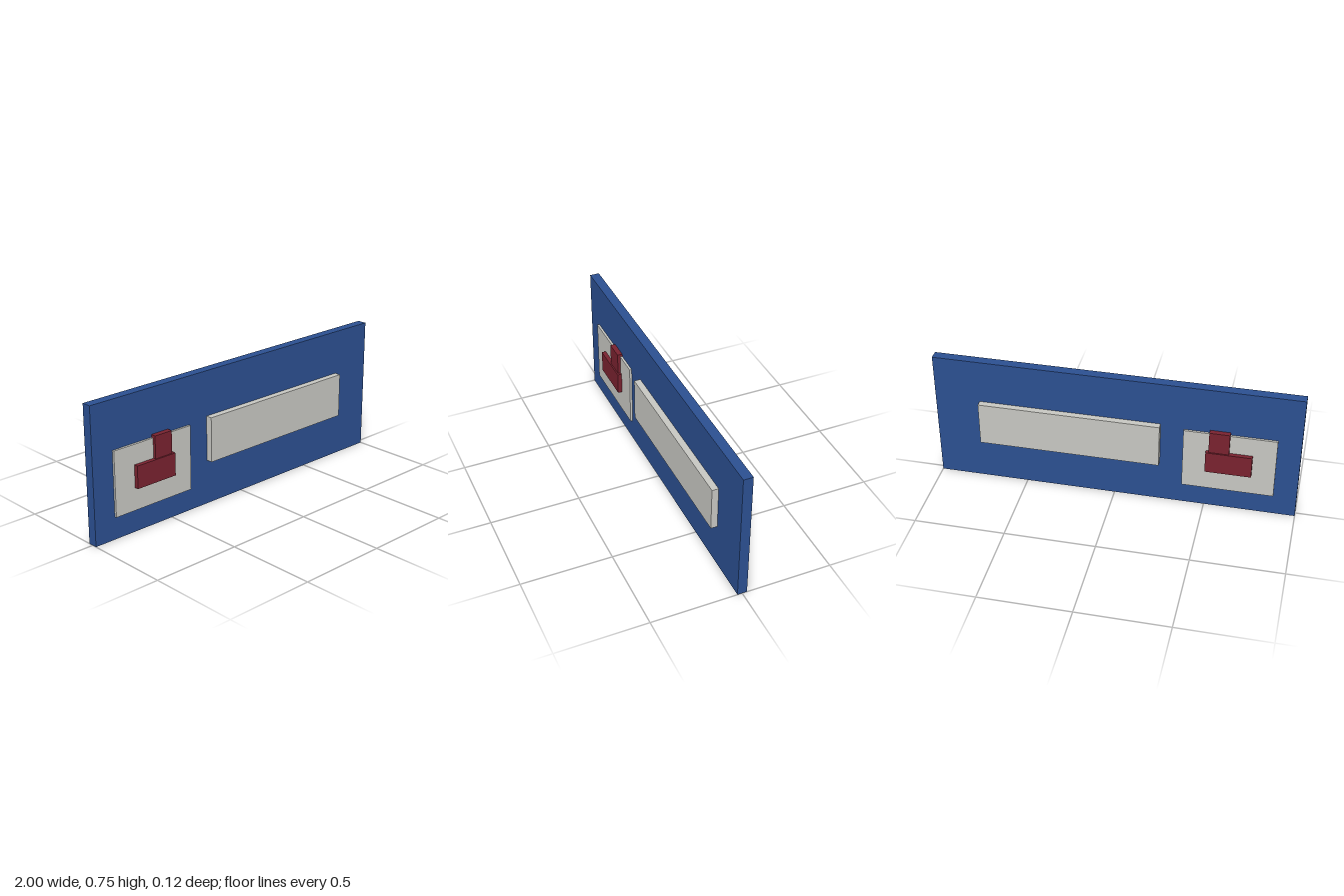
import * as THREE from 'three';

export function createModel() {
  const model = new THREE.Group();
  const material = (name, color) => {
    const m = new THREE.MeshStandardMaterial({ color });
    m.name = name;
    return m;
  };
  const blue = material('blue', 0x2b4f90);
  const paleGrey = material('pale grey', 0xc6c6c1);
  const darkRed = material('dark red', 0x78222f);

  // Box given by its x and y limits, running from depth z0 to z1
  const addBox = (name, mat, [x0, x1], [y0, y1], [z0, z1]) => {
    const mesh = new THREE.Mesh(new THREE.BoxGeometry(x1 - x0, y1 - y0, z1 - z0), mat);
    mesh.position.set((x0 + x1) / 2, (y0 + y1) / 2, (z0 + z1) / 2);
    mesh.name = name;
    model.add(mesh);
  };

  // Main board
  const face = 0.0265;
  addBox('board', blue, [-1, 1], [0, 0.75], [-face, face]);

  // The same raised pieces on the front and the back
  const raised = [
    ['longBar', paleGrey, [-0.25, 0.75], [0.25, 0.5], 0.0625],
    ['emblemPlate', paleGrey, [-0.875, -0.375], [0.125, 0.485], 0.039],
    ['emblemBase', darkRed, [-0.75, -0.5], [0.25, 0.375], 0.0625],
    ['emblemStem', darkRed, [-0.625, -0.515], [0.375, 0.5], 0.055],
  ];
  for (const [name, mat, xs, ys, z] of raised) {
    addBox(name + 'Front', mat, xs, ys, [face, z]);
    addBox(name + 'Back', mat, xs, ys, [-z, -face]);
  }
  return model;
}
